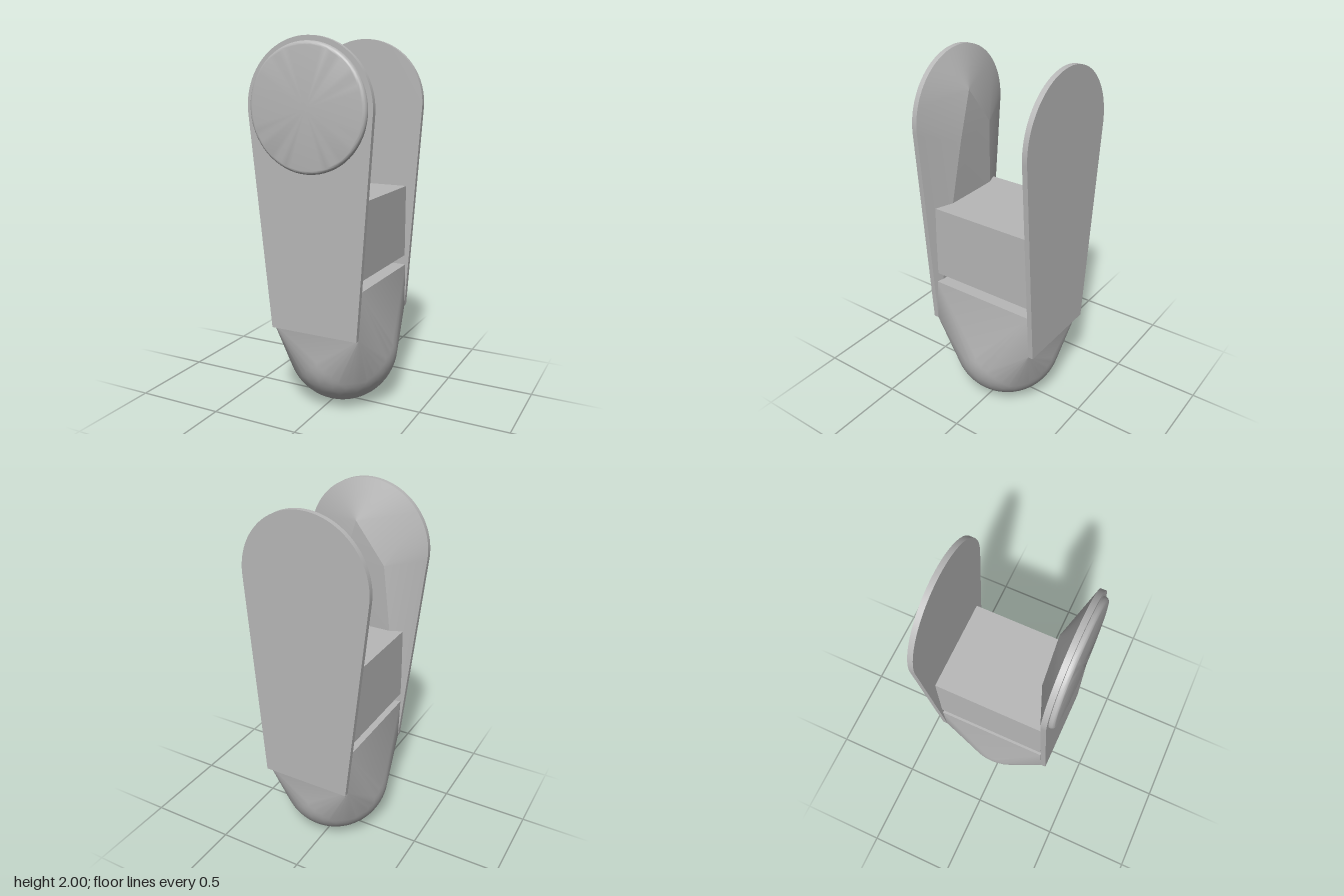
import * as THREE from 'three';
import { toCreasedNormals } from 'three/addons/utils/BufferGeometryUtils.js';
import { ConvexGeometry } from 'three/addons/geometries/ConvexGeometry.js';

const R = 0.35, CY = 1.65; // rounded plate end
const X0 = -0.23, X1 = 0.27, PLATE_BOTTOM = 0.48;

// Tapered plate outline with a round top
function plateShape() {
  const s = new THREE.Shape();
  s.moveTo(X0, PLATE_BOTTOM);
  s.lineTo(X1, PLATE_BOTTOM);
  s.absarc(0, CY, R, -0.07, Math.PI + 0.1, false);
  s.closePath();
  return s;
}

export function createModel() {
  const group = new THREE.Group();
  const grey = new THREE.MeshStandardMaterial({ color: 0xb8b8b8 });
  grey.name = 'plain grey';

  const add = (name, geometry, crease = 0.5) => {
    const mesh = new THREE.Mesh(toCreasedNormals(geometry, crease), grey);
    mesh.name = name;
    group.add(mesh);
    return mesh;
  };

  // Side plates
  for (const [name, z] of [['frontPlate', 0.3], ['backPlate', -0.355]]) {
    const g = new THREE.ExtrudeGeometry(plateShape(), { depth: 0.028, bevelEnabled: false, curveSegments: 48 });
    add(name, g).position.z = z;
  }

  // Shallow three-peaked bulge on the inside of the front plate
  const rim = plateShape().getPoints(48).map(p => new THREE.Vector3(p.x, p.y, 0.3));
  const peaks = [[0.03, 1.79], [-0.14, 1.57], [0.11, 1.53]].map(([x, y]) => new THREE.Vector3(x, y, 0.22));
  add('plateBulge', new ConvexGeometry([...rim, ...peaks]), 0.2);

  // Round cap with a soft outer edge
  const profile = [[0, 0], [0.325, 0], [0.325, 0.008]];
  for (let i = 1; i <= 6; i++) {
    const a = (i / 6) * Math.PI / 2;
    profile.push([0.305 + 0.02 * Math.cos(a), 0.008 + 0.02 * Math.sin(a)]);
  }
  profile.push([0, 0.028]);
  const cap = new THREE.LatheGeometry(profile.map(p => new THREE.Vector2(...p)), 64);
  cap.rotateX(Math.PI / 2);
  add('roundCap', cap).position.set(0, CY, 0.327);

  // Cross block between the plates
  const block = new THREE.BoxGeometry(0.505, 0.405, 0.613);
  add('crossBlock', block).position.set(0.0125, 0.9875, -0.0205);

  // Base: a ball blended into a square top
  const points = [];
  const pos = new THREE.SphereGeometry(0.312, 48, 32).attributes.position;
  for (let i = 0; i < pos.count; i++) {
    points.push(new THREE.Vector3().fromBufferAttribute(pos, i).add(new THREE.Vector3(0.023, 0.312, -0.014)));
  }
  for (const z of [0, -0.327]) {
    for (const [x, y] of [[-0.24, 0.73], [0.27, 0.73], [X0, PLATE_BOTTOM], [X1, PLATE_BOTTOM]]) {
      points.push(new THREE.Vector3(x, y, z || (y > 0.6 ? 0.29 : 0.3)));
    }
  }
  add('roundedBase', new ConvexGeometry(points));

  return group;
}
